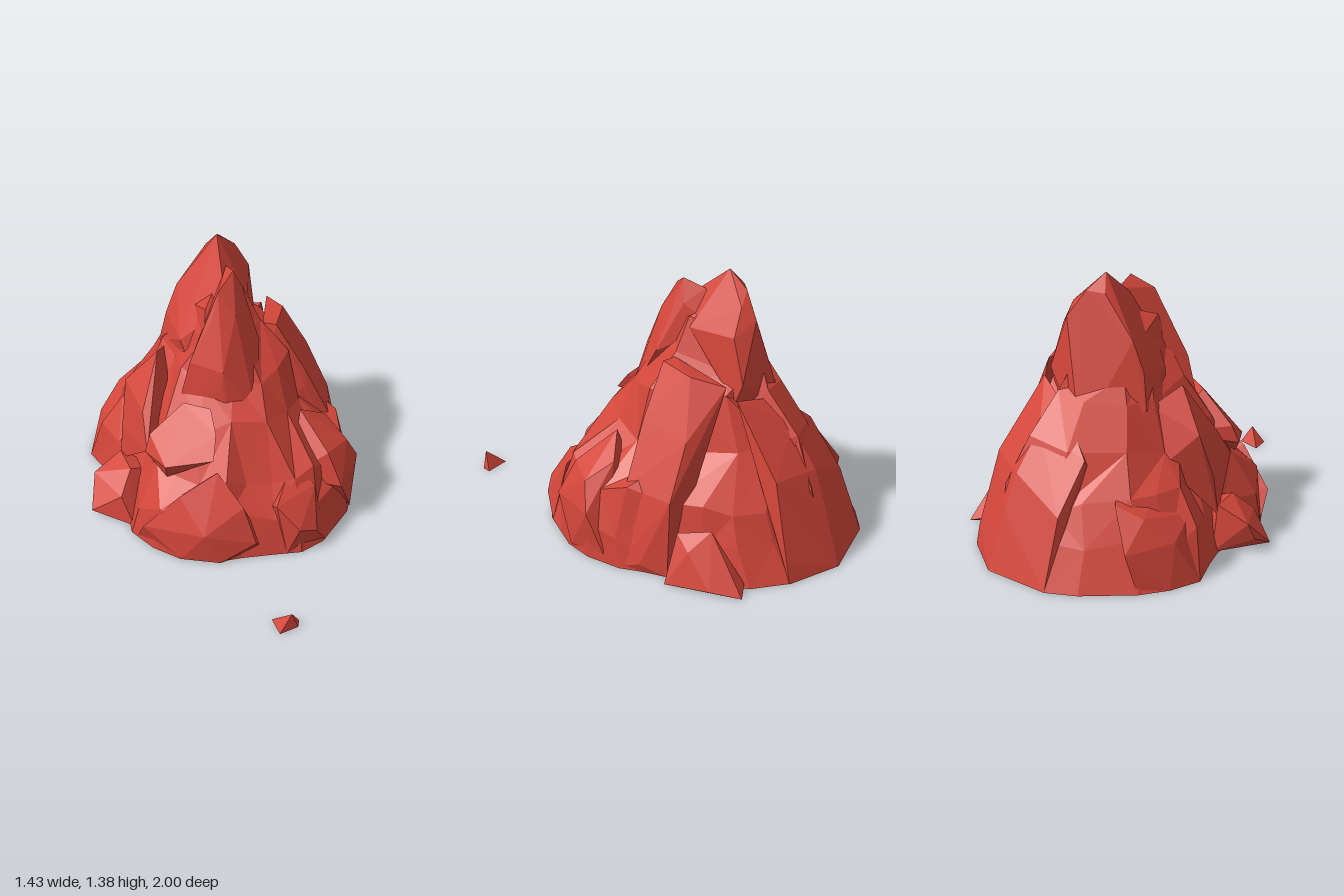
import * as THREE from 'three';
import { ConvexGeometry } from 'three/addons/geometries/ConvexGeometry.js';

const redRock = new THREE.MeshStandardMaterial({ color: 0xd4463a, flatShading: true });
redRock.name = 'red rock';

// Footprint of the mountain, (x, z) pairs from the back round by the right
const FOOTPRINT = [
  [-0.1, -1], [0, -0.91], [0.06, -0.94], [0.18, -0.93], [0.35, -0.82], [0.45, -0.66],
  [0.55, -0.46], [0.67, -0.25], [0.71, -0.07], [0.7, 0.08], [0.65, 0.2], [0.6, 0.32],
  [0.5, 0.42], [0.36, 0.46], [0.2, 0.51], [0.08, 0.56], [-0.1, 0.56], [-0.25, 0.5],
  [-0.38, 0.4], [-0.45, 0.2], [-0.52, 0.05], [-0.6, -0.05], [-0.72, -0.18],
  [-0.72, -0.35], [-0.68, -0.5], [-0.54, -0.75], [-0.43, -0.87], [-0.25, -0.94],
];

// Extents of each level: y, xMin, xMax, zMin, zMax, columns sharing a corner
const LEVELS = [
  [0, -0.72, 0.7, -1, 0.56, 1],
  [0.2, -0.68, 0.71, -0.94, 0.56, 1],
  [0.38, -0.56, 0.64, -0.87, 0.45, 1],
  [0.6, -0.44, 0.42, -0.74, 0.31, 2],
  [0.8, -0.34, 0.34, -0.58, 0.15, 2],
  [0.96, -0.27, 0.2, -0.5, 0.05, 4],
  [1.1, -0.2, 0.11, -0.45, 0, 4],
];
const CAP = [-0.02, 1.2, -0.25];

function seeded(seed) {
  return () => {
    seed = (seed * 16807) % 2147483647;
    return seed / 2147483647;
  };
}

// Rings scaled from the footprint, with gullies, chipped corners and broader facets higher up
function makeRings() {
  const rand = seeded(4711);
  const gully = FOOTPRINT.map(() => rand());
  return LEVELS.map(([y, x0, x1, z0, z1, share], k) => {
    const cx = (x0 + x1) / 2, cz = (z0 + z1) / 2;
    const ring = FOOTPRINT.map(([px, pz], i) => {
      const x = x0 + ((px + 0.72) / 1.43) * (x1 - x0);
      const z = z0 + ((pz + 1) / 1.56) * (z1 - z0);
      const inset = k === 0 ? 1 : 1 - 0.06 * gully[i] - 0.04 * rand();
      const lift = k === 0 ? 0 : (rand() - 0.5) * 0.1;
      return [cx + (x - cx) * inset, y + lift, cz + (z - cz) * inset];
    });
    return ring.map((_, i) => ring[i - (i % share)]);
  });
}

function loft(rings) {
  const pos = [];
  const tri = (a, b, c) => {
    if (a !== b && b !== c && c !== a) pos.push(...a, ...b, ...c);
  };
  const n = FOOTPRINT.length;
  for (let i = 0; i < n; i++) {
    const j = (i + 1) % n;
    for (let k = 0; k < rings.length - 1; k++) {
      const a = rings[k][i], b = rings[k][j], c = rings[k + 1][i], d = rings[k + 1][j];
      // alternate the diagonals for broken facets
      if ((i + k) % 2) { tri(a, c, b); tri(b, c, d); }
      else { tri(a, c, d); tri(a, d, b); }
    }
    const top = rings[rings.length - 1];
    tri(top[i], CAP, top[j]);
    tri([0, 0, -0.2], rings[0][i], rings[0][j]);
  }
  const geo = new THREE.BufferGeometry();
  geo.setAttribute('position', new THREE.Float32BufferAttribute(pos, 3));
  geo.computeVertexNormals();
  return geo;
}

// Angular block around a few corner points
function crag(name, points) {
  const mesh = new THREE.Mesh(new ConvexGeometry(points.map((p) => new THREE.Vector3(...p))), redRock);
  mesh.name = name;
  return mesh;
}

export function createModel() {
  const group = new THREE.Group();
  group.name = 'rockyPeak';

  const rings = makeRings();
  const core = new THREE.Mesh(loft(rings), redRock);
  core.name = 'mountain';
  group.add(core);

  group.add(
    // upper crags
    crag('mainSpire', [[-0.05, 1.385, -0.3], [-0.11, 1.3, -0.34], [0, 1.27, -0.2], [0.02, 1.25, -0.44], [-0.05, 1.31, -0.41],
      [-0.25, 1.09, -0.27], [-0.02, 1.19, -0.5], [0.09, 1.12, -0.46], [-0.3, 0.94, -0.24], [0.1, 0.9, -0.53], [-0.2, 0.9, -0.06],
      [-0.34, 0.76, -0.25], [-0.2, 0.64, -0.54], [0.12, 0.8, -0.5], [0.12, 1.1, -0.2], [0.04, 1.14, -0.02], [-0.1, 0.7, 0]]),
    crag('frontSpire', [[0.06, 1.31, -0.1], [0, 1.24, 0], [0.01, 1.27, -0.2], [0.1, 1.2, -0.14], [-0.02, 1.12, 0.05],
      [0.09, 1.13, 0.02], [0.2, 0.95, -0.05], [-0.12, 0.9, 0.12], [0.05, 0.88, 0.16], [0.05, 0.8, 0.17], [0.22, 0.6, 0.14],
      [-0.2, 0.55, 0.16], [0.1, 0.5, 0.2], [0.04, 1.1, -0.28]]),
    crag('rightShoulder', [[0.2, 0.965, -0.18], [0.27, 0.965, -0.17], [0.28, 0.95, -0.36], [0.18, 0.91, -0.5], [0.36, 0.8, -0.2],
      [0.42, 0.7, -0.18], [0.43, 0.6, -0.16], [0.4, 0.68, -0.45], [0.52, 0.4, -0.46], [0.2, 0.5, -0.1], [0.56, 0.4, -0.2],
      [0.62, 0.05, -0.35], [0.55, 0, -0.47], [0.66, 0, -0.22]]),
    // ledges on the flanks
    crag('frontLedge', [[-0.14, 0.71, 0.2], [0, 0.71, 0.23], [-0.3, 0.55, 0.27], [0.04, 0.62, 0.32], [0.04, 0.52, 0.4],
      [-0.2, 0.45, 0.4], [-0.32, 0.46, 0.3], [-0.2, 0.36, 0.36], [-0.1, 0.5, 0]]),
    crag('frontButtress', [[0.06, 0.45, 0.4], [-0.12, 0.33, 0.47], [0.2, 0.3, 0.47], [-0.3, 0.14, 0.5], [0.02, 0.17, 0.57],
      [0.27, 0.1, 0.5], [-0.1, 0, 0.56], [0.1, 0, 0.56], [-0.35, 0, 0.42], [0.3, 0, 0.4], [0, 0.2, 0.1]]),
    crag('leftCrag', [[-0.48, 0.64, -0.04], [-0.38, 0.75, -0.03], [-0.31, 0.84, -0.03], [-0.36, 0.58, 0.14], [-0.49, 0.4, 0.04],
      [-0.3, 0.76, -0.2], [-0.42, 0.5, -0.2], [-0.5, 0.2, 0.06], [-0.32, 0.42, 0.25], [-0.2, 0.5, 0]]),
    crag('leftLowBoulder', [[-0.5, 0.4, -0.52], [-0.54, 0.37, -0.36], [-0.6, 0.34, -0.42], [-0.68, 0.22, -0.3], [-0.64, 0.2, -0.55],
      [-0.58, 0.3, -0.15], [-0.72, 0, -0.18], [-0.72, 0, -0.35], [-0.67, 0, -0.5], [-0.35, 0.45, -0.4], [-0.4, 0.1, -0.3]]),
    crag('backButtress', [[0.15, 0.84, -0.54], [-0.12, 0.77, -0.57], [-0.34, 0.58, -0.59], [-0.08, 0.68, -0.69], [-0.1, 0.48, -0.83],
      [0.15, 0.5, -0.8], [-0.38, 0.34, -0.76], [-0.1, 0.3, -0.9], [0.18, 0.1, -0.91], [-0.1, 0, -1], [-0.43, 0, -0.87],
      [0.18, 0, -0.93], [-0.2, 0.3, -0.4]]),
    crag('rightFlank', [[0.42, 0.58, 0], [0.54, 0.49, -0.1], [0.66, 0.4, -0.02], [0.715, 0.26, -0.08], [0.58, 0.42, 0.13],
      [0.66, 0.25, 0.18], [0.7, 0.02, 0.05], [0.4, 0.3, 0.2], [0.68, 0.05, -0.16], [0.4, 0.3, -0.14]]),
    // boulders around the foot
    crag('leftFootBoulder', [[-0.62, 0.17, 0.16], [-0.5, 0.25, 0.06], [-0.42, 0.25, 0.2], [-0.61, 0.03, 0.3], [-0.62, 0.08, 0.2],
      [-0.45, 0.15, 0.31], [-0.38, 0, 0.35], [-0.5, 0, 0.03], [-0.3, 0.2, 0.1]]),
    crag('backRightBoulder', [[0.43, 0, -0.85], [0.36, 0.03, -0.8], [0.52, 0.02, -0.72], [0.6, 0, -0.5], [0.52, 0.18, -0.58],
      [0.42, 0.28, -0.64], [0.5, 0.24, -0.49], [0.3, 0, -0.6], [0.45, 0, -0.4]]),
    crag('frontRightBoulder', [[0.4, 0.4, 0.24], [0.53, 0.32, 0.26], [0.36, 0.28, 0.42], [0.56, 0.12, 0.38], [0.48, 0.16, 0.44],
      [0.6, 0, 0.3], [0.42, 0, 0.44], [0.28, 0.2, 0.3], [0.3, 0, 0.2]]),
    crag('loosePebble', [[0.4, 0, 0.91], [0.53, 0, 0.895], [0.53, 0, 0.94], [0.45, 0, 1], [0.5, 0.09, 0.95]]),
  );

  // small outcrops breaking up the front
  const rand = seeded(927);
  for (let n = 0; n < 7; n++) {
    const i = 9 + Math.floor(rand() * 11);
    const [x, y, z] = rings[1 + (n % 2)][i];
    const points = [];
    for (let p = 0; p < 9; p++) {
      const t = (p / 9) * Math.PI * 2 * 2.6, h = (p / 8) * 2 - 1;
      const r = Math.sqrt(1 - h * h * 0.85) * (0.07 + 0.04 * rand());
      points.push([x * 0.86 + Math.cos(t) * r, Math.max(0, y - 0.03 + h * 0.13), (z + 0.25) * 0.86 - 0.25 + Math.sin(t) * r]);
    }
    group.add(crag('outcrop', points));
  }
  return group;
}
